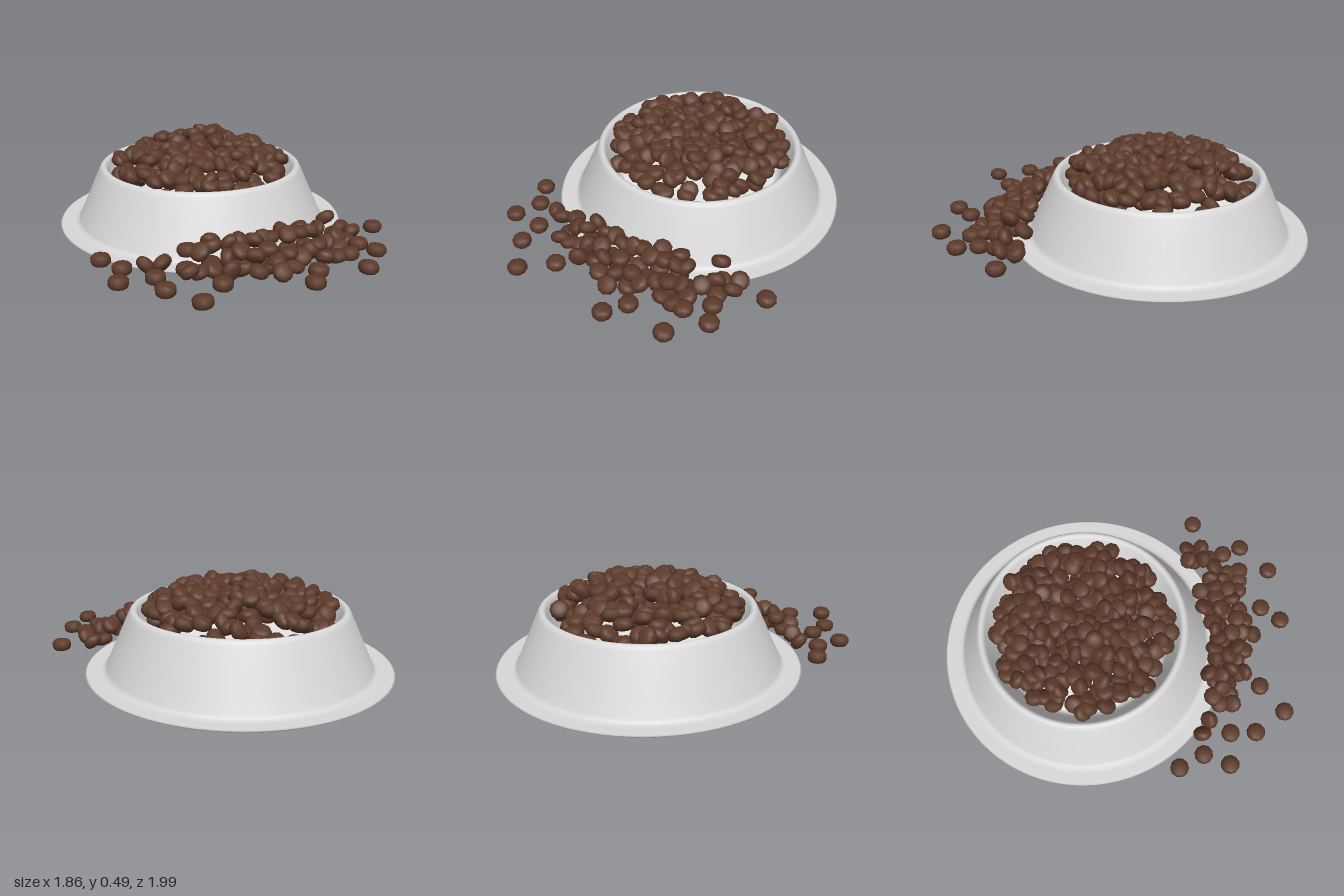
import * as THREE from 'three';
import { mergeGeometries } from 'three/addons/utils/BufferGeometryUtils.js';

const CX = 0.13, CZ = -0.2; // bowl axis

function makeRandom(seed) {
  return () => {
    seed = (seed * 16807) % 2147483647;
    return seed / 2147483647;
  };
}

const profile = pts => pts.map(([x, y]) => new THREE.Vector2(x, y));

export function createModel() {
  const model = new THREE.Group();
  const metal = new THREE.MeshStandardMaterial({ name: 'brushed grey', color: 0xd8d8d8, side: THREE.DoubleSide });
  const brown = new THREE.MeshStandardMaterial({ name: 'kibble brown', color: 0x5c3a2a });
  const pale = new THREE.MeshStandardMaterial({ name: 'pale base', color: 0xffffff });
  const rand = makeRandom(4711);

  const add = (name, geometry, material) => {
    const mesh = new THREE.Mesh(geometry, material);
    mesh.name = name;
    model.add(mesh);
    return mesh;
  };

  // Pressed sheet bowl: turned-under lip, flange, sloping wall, rounded rim, inner basin
  const bowl = add('bowl', new THREE.LatheGeometry(profile([
    [0.772, 0.004], [0.782, 0], [0.793, 0.006], [0.8, 0.015], [0.792, 0.018],
    [0.74, 0.016], [0.715, 0.017], [0.7, 0.023], [0.69, 0.04],
    [0.66, 0.108], [0.6, 0.243], [0.57, 0.31], [0.562, 0.325], [0.552, 0.334],
    [0.54, 0.335], [0.53, 0.329], [0.523, 0.315],
    [0.505, 0.27], [0.47, 0.185], [0.458, 0.162], [0.44, 0.15], [0.42, 0.147], [0, 0.147],
  ]), 80), metal);
  bowl.position.set(CX, 0, CZ);

  // Bright base of the basin
  const base = add('basinBase', new THREE.CircleGeometry(0.435, 48).rotateX(-Math.PI / 2), pale);
  base.position.set(CX, 0.152, CZ);

  // One blunt-edged pellet, copied with a position and a tilt
  const pellet = new THREE.LatheGeometry(profile([
    [0, -0.031], [0.022, -0.031], [0.041, -0.024], [0.05, -0.01],
    [0.05, 0.01], [0.041, 0.024], [0.022, 0.031], [0, 0.031],
  ]), 10);
  const place = (x, y, z, tilt) => {
    const turn = new THREE.Euler((rand() - 0.5) * tilt, rand() * 6.28, (rand() - 0.5) * tilt);
    const matrix = new THREE.Matrix4().compose(
      new THREE.Vector3(x, y, z),
      new THREE.Quaternion().setFromEuler(turn),
      new THREE.Vector3(1, 1, 1));
    return pellet.clone().applyMatrix4(matrix);
  };

  // Heap in the bowl, spread in a spiral over an uneven mound
  const heap = [];
  const COUNT = 215;
  for (let i = 0; i < COUNT; i++) {
    const r = 0.472 * Math.sqrt((i + 0.5) / COUNT);
    const a = i * 2.39996 + (rand() - 0.5) * 0.2;
    const x = r * Math.cos(a), z = r * Math.sin(a);
    const bump = 0.045 * Math.exp(-((x + 0.12) ** 2 + z * z) / 0.012)
      + 0.035 * Math.exp(-((x - 0.22) ** 2 + (z + 0.12) ** 2) / 0.01);
    const top = 0.335 + 0.075 * Math.min(1, (0.472 - r) / 0.14) + bump;
    heap.push(place(CX + x, top + 0.01 - rand() * 0.085, CZ + z, 1.7));
  }
  add('kibbleHeap', mergeGeometries(heap), brown);

  // Loose pellets lying flat on the ground
  const loose = [
    [-0.88, 0.1], [-0.75, -0.14], [-0.76, 0.01], [-0.74, 0.2], [-0.81, 0.32], [-0.8, 0.52],
    [-0.61, 0.49], [-0.35, 0.82], [-0.23, 0.77], [-0.06, 0.945], [0.15, 0.89], [0.17, 0.78],
    [0.43, 0.74], [0.03, 0.8],
  ].map(([x, z]) => place(x, 0.06, z, 0.15));
  add('looseKibble', mergeGeometries(loose), brown);

  // Spill banked up against the bowl: higher near the wall, with pellets underneath
  const spill = [];
  [
    [-0.66, 0.07], [-0.62, 0.14], [-0.53, 0.22], [-0.52, 0.29], [-0.61, 0.3], [-0.5, 0.46],
    [-0.41, 0.27], [-0.46, 0.32], [-0.45, 0.4], [-0.38, 0.43], [-0.36, 0.35], [-0.31, 0.38],
    [-0.27, 0.43], [-0.36, 0.5], [-0.28, 0.52], [-0.22, 0.45], [-0.17, 0.46], [-0.07, 0.47],
    [0.02, 0.51], [-0.13, 0.54], [-0.06, 0.56], [0, 0.59], [0.05, 0.6], [-0.3, 0.58],
    [-0.22, 0.6], [-0.18, 0.65], [-0.1, 0.65], [-0.04, 0.66], [0.02, 0.67], [-0.34, 0.64],
    [-0.07, 0.72], [-0.02, 0.76], [0.05, 0.73], [0.12, 0.68], [0.19, 0.65], [0.22, 0.56],
    [0.31, 0.62], [0.27, 0.69],
  ].forEach(([x, z]) => {
    const d = Math.hypot(x - CX, z - CZ);
    const inPile = x > -0.55 && x < 0.25;
    const lift = inPile ? (0.07 + 0.03 * rand()) * THREE.MathUtils.clamp((0.95 - d) / 0.17, 0, 1) : 0.02 * rand();
    spill.push(place(x, 0.055 + lift, z, 2));
    if (lift > 0.04) {
      const k = (d + 0.05) / d;
      spill.push(place(CX + (x - CX) * k, 0.05, CZ + (z - CZ) * k, 0.8));
    }
  });
  add('spilledKibble', mergeGeometries(spill), brown);

  return model;
}
